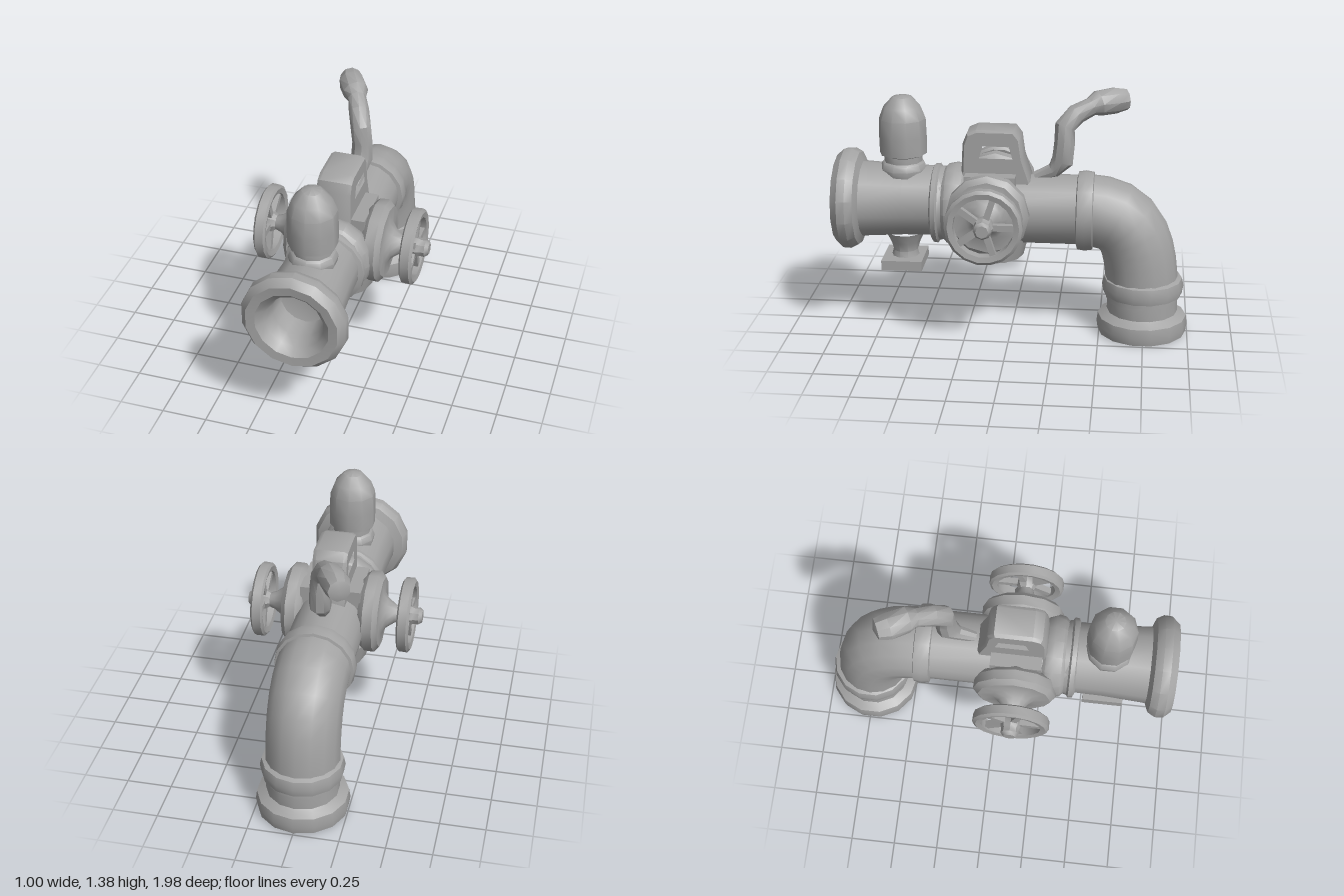
import * as THREE from 'three';
import { toCreasedNormals } from 'three/addons/utils/BufferGeometryUtils.js';

export function createModel() {
  const model = new THREE.Group();
  model.name = 'pipeValve';
  const iron = new THREE.MeshStandardMaterial({ color: 0xa3a3a3 });
  iron.name = 'grey iron';

  const add = (name, geo, parent = model) => {
    const mesh = new THREE.Mesh(toCreasedNormals(geo, 0.65), iron);
    mesh.name = name;
    parent.add(mesh);
    return mesh;
  };
  // Turned part: [radius, height] pairs from bottom to top
  const turned = (pts, sides = 16) =>
    new THREE.LatheGeometry(pts.map(([r, h]) => new THREE.Vector2(r, h)), sides);
  const box = (w, h, d, x, y, z) => new THREE.BoxGeometry(w, h, d).translate(x, y, z);

  // Front pipe with a rounded, recessed mouth
  add('frontPipe', turned([
    [0.195, 0.25], [0.2, 0.6], [0.215, 0.84], [0.265, 0.86], [0.287, 0.9], [0.285, 0.945],
    [0.25, 0.985], [0.2, 0.98], [0.16, 0.94], [0.14, 0.87], [0.13, 0.76], [0, 0.72],
  ], 14).rotateX(Math.PI / 2).translate(0, 0.745, 0));

  // Collar pair between the front pipe and the valve
  add('frontCollars', turned([
    [0.19, 0.24], [0.225, 0.27], [0.235, 0.31], [0.225, 0.36], [0.205, 0.38],
    [0.21, 0.4], [0.225, 0.41], [0.222, 0.435], [0.19, 0.45],
  ]).rotateX(Math.PI / 2).translate(0, 0.73, 0));

  // Rear pipe and its collar
  add('rearPipe', turned([[0.195, -0.47], [0.195, 0.3]])
    .rotateX(Math.PI / 2).translate(0, 0.715, 0));
  add('rearCollar', turned([
    [0.18, -0.465], [0.218, -0.455], [0.225, -0.41], [0.218, -0.37], [0.18, -0.36],
  ]).rotateX(Math.PI / 2).translate(0, 0.71, 0));

  // Elbow turning down
  const bend = new THREE.CubicBezierCurve3(
    new THREE.Vector3(0, 0.712, -0.43), new THREE.Vector3(0, 0.705, -0.67),
    new THREE.Vector3(0, 0.56, -0.73), new THREE.Vector3(0, 0.2, -0.74));
  add('elbow', new THREE.TubeGeometry(bend, 9, 0.203, 16));

  // Lower collar, short pipe and closed foot flange
  add('elbowFoot', turned([
    [0, 0], [0.25, 0.005], [0.257, 0.05], [0.25, 0.1], [0.215, 0.12], [0.2, 0.13],
    [0.198, 0.225], [0.222, 0.235], [0.23, 0.28], [0.22, 0.325], [0.195, 0.335],
  ], 14).translate(0, 0, -0.742));

  // Relief dome on the front pipe
  add('dome', turned([
    [0.125, 0.9], [0.132, 0.935], [0.12, 0.965], [0.108, 0.975], [0.108, 1.01],
    [0.132, 1.02], [0.134, 1.12], [0.13, 1.22], [0.105, 1.285], [0.055, 1.34], [0, 1.352],
  ], 10).translate(0, 0, 0.61));

  // Drain foot below the front pipe
  add('drainNeck', turned([[0.08, 0.41], [0.07, 0.45], [0.085, 0.5], [0.115, 0.56]], 10)
    .translate(0, 0, 0.61));
  add('drainPlate', box(0.265, 0.055, 0.23, 0, 0.39, 0.615));

  // Valve body blocks above and below
  add('valveTop', box(0.34, 0.16, 0.28, 0, 0.86, 0.11));
  add('valveBottom', new THREE.CylinderGeometry(0.21, 0.18, 0.12, 12).translate(0, 0.5, 0.115));

  // Arched grip on top of the valve
  const grip = new THREE.Shape([
    [0.265, 0.88], [0.255, 1.1], [0.235, 1.15], [0.19, 1.17],
    [-0.01, 1.17], [-0.04, 1.13], [-0.055, 1.02], [-0.095, 0.9], [-0.095, 0.88],
  ].reverse().map(([z, y]) => new THREE.Vector2(z, y)));
  grip.holes.push(new THREE.Path([
    [-0.01, 1.025], [0.01, 1.095], [0.155, 1.095], [0.175, 1.025],
  ].map(([z, y]) => new THREE.Vector2(z, y))));
  add('grip', new THREE.ExtrudeGeometry(grip, {
    depth: 0.15, bevelEnabled: true, bevelThickness: 0.02, bevelSize: 0.012, bevelSegments: 1,
  }).translate(0, 0, -0.075).rotateY(-Math.PI / 2));

  // Side plates, stems and hand wheels
  for (const side of [1, -1]) {
    const wheel = new THREE.Group();
    wheel.name = side > 0 ? 'leftHandWheel' : 'rightHandWheel';
    wheel.position.set(0, 0.742, 0.115);
    wheel.rotation.z = -side * Math.PI / 2;
    model.add(wheel);
    add('sidePlate', turned([
      [0, 0.12], [0.2, 0.16], [0.228, 0.19], [0.23, 0.245], [0.2, 0.272], [0.12, 0.275],
      [0.085, 0.3], [0.052, 0.345], [0.04, 0.38],
    ], 12), wheel);
    add('wheelRim', turned([
      [0.165, 0.385], [0.195, 0.378], [0.21, 0.388], [0.212, 0.435],
      [0.195, 0.448], [0.165, 0.442], [0.165, 0.385],
    ], 18), wheel);
    add('wheelHub', turned([
      [0.04, 0.37], [0.058, 0.4], [0.055, 0.44], [0.048, 0.455], [0.05, 0.48], [0.035, 0.5], [0, 0.5],
    ], 8), wheel);
    for (let i = 0; i < 5; i++) {
      const spoke = add('spoke', box(0.15, 0.035, 0.034, 0.105, 0.415, 0), wheel);
      spoke.rotation.y = Math.PI / 2 * side + i * Math.PI * 2 / 5;
    }
  }

  // Crooked lever: rings of varying radius along a path
  const stops = [ // x, y, z, radius
    [0, 0.9, -0.13, 0.03], [0, 0.94, -0.23, 0.042], [0, 1.0, -0.28, 0.062], [0, 1.1, -0.29, 0.058],
    [-0.01, 1.19, -0.29, 0.058], [-0.04, 1.255, -0.35, 0.058], [-0.075, 1.29, -0.43, 0.052],
    [-0.095, 1.305, -0.47, 0.072], [-0.145, 1.31, -0.56, 0.074], [-0.17, 1.312, -0.62, 0.06],
    [-0.178, 1.313, -0.635, 0.002],
  ];
  const path = new THREE.CatmullRomCurve3(stops.map(([x, y, z]) => new THREE.Vector3(x, y, z)));
  const sides = 9, pos = [], index = [];
  stops.forEach(([x, y, z, r], i) => {
    const t = path.getTangent(i / (stops.length - 1));
    const u = new THREE.Vector3(1, 0, 0).addScaledVector(t, -t.x).normalize();
    const v = new THREE.Vector3().crossVectors(t, u);
    for (let j = 0; j < sides; j++) {
      const a = j / sides * Math.PI * 2;
      const p = new THREE.Vector3(x, y, z)
        .addScaledVector(u, r * Math.cos(a)).addScaledVector(v, r * Math.sin(a));
      pos.push(p.x, p.y, p.z);
      if (i) {
        const k = (j + 1) % sides, b = i * sides, c = b - sides;
        index.push(c + j, c + k, b + j, c + k, b + k, b + j);
      }
    }
  });
  const lever = new THREE.BufferGeometry();
  lever.setAttribute('position', new THREE.Float32BufferAttribute(pos, 3));
  lever.setIndex(index);
  add('lever', lever);

  return model;
}
